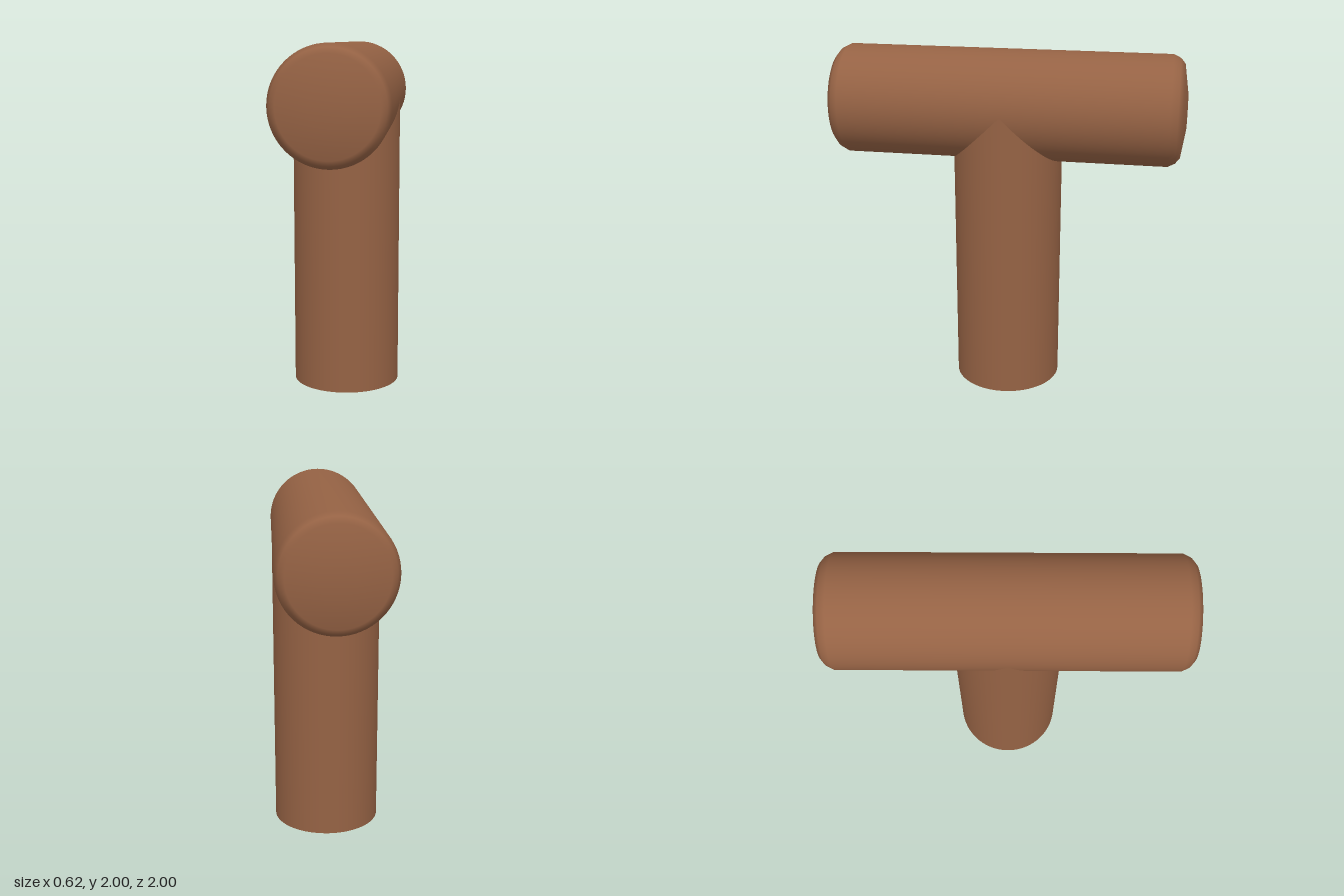
import * as THREE from 'three';

const RADIUS = 0.31;
const BAR_Y = 1.69;

export function createModel() {
  const group = new THREE.Group();
  group.name = 'teeJoint';
  const brown = new THREE.MeshStandardMaterial({ color: 0x956244 });
  brown.name = 'brown';

  // Crossbar: round bar along z with softly domed ends
  const end = [[0, 1], [0.1, 1], [0.26, 0.975], [0.29, 0.95], [RADIUS, 0.91]];
  const profile = [
    ...end.map(([r, h]) => new THREE.Vector2(r, -h)),
    ...end.slice().reverse().map(([r, h]) => new THREE.Vector2(r, h)),
  ];
  const bar = new THREE.Mesh(new THREE.LatheGeometry(profile, 64), brown);
  bar.name = 'crossbar';
  bar.rotation.x = Math.PI / 2;
  bar.position.y = BAR_Y;
  group.add(bar);

  // Post: open-topped cylinder whose upper rim follows the mitre with the bar
  const postGeometry = new THREE.CylinderGeometry(RADIUS, RADIUS, BAR_Y, 64, 1, true);
  postGeometry.translate(0, BAR_Y / 2, 0);
  const p = postGeometry.attributes.position;
  for (let i = 0; i < p.count; i++) {
    if (p.getY(i) > 1) p.setY(i, BAR_Y - Math.abs(p.getZ(i)) + 0.004);
  }
  const post = new THREE.Mesh(postGeometry, brown);
  post.name = 'post';
  group.add(post);

  // Flat underside of the post
  const base = new THREE.Mesh(new THREE.CircleGeometry(RADIUS, 64), brown);
  base.name = 'postBase';
  base.rotation.x = Math.PI / 2;
  group.add(base);

  return group;
}
